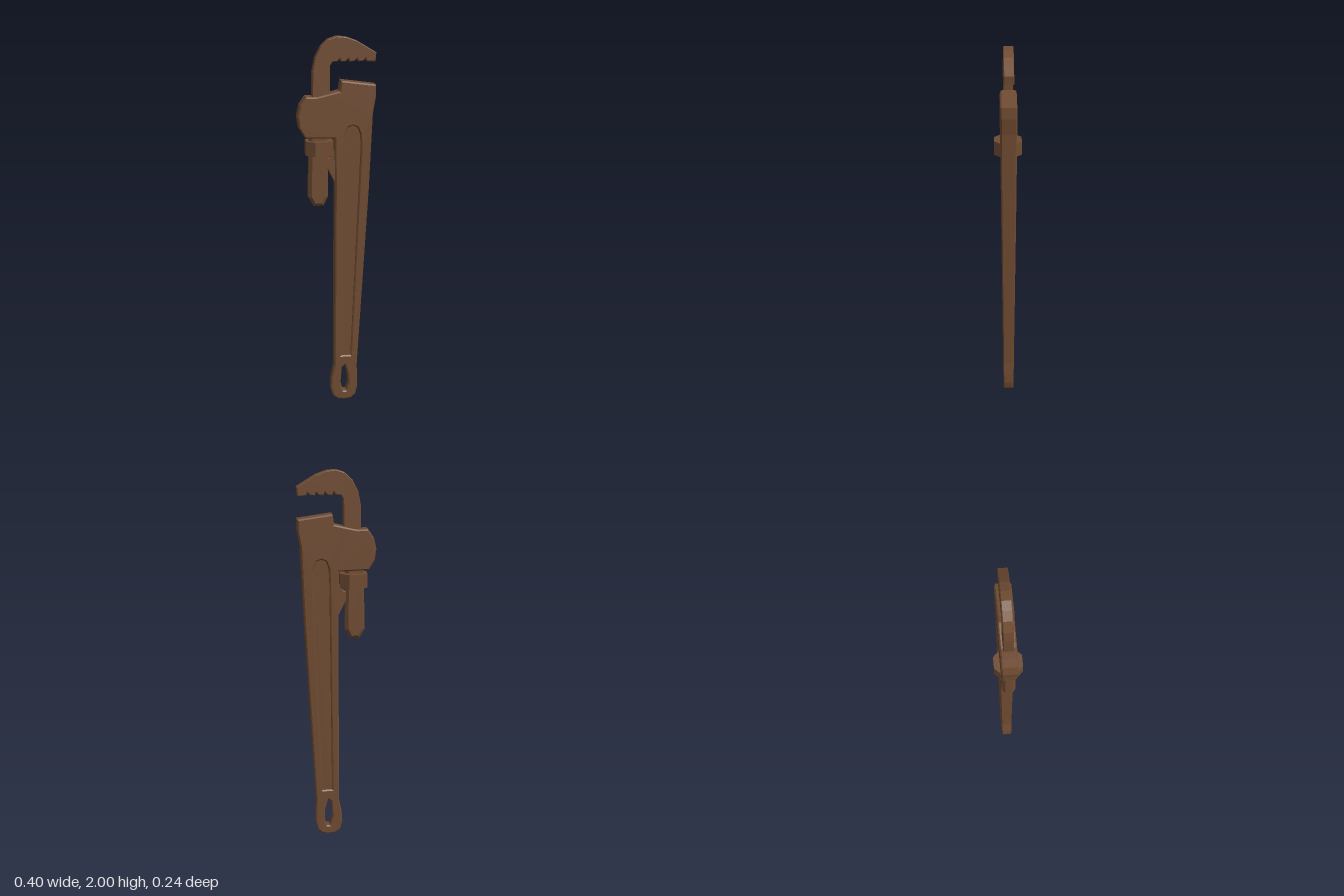
import * as THREE from 'three';

const brown = new THREE.MeshStandardMaterial({ color: 0x6f4b31, flatShading: true });

const toVectors = (pts) => pts.map(([x, y]) => new THREE.Vector2(x, y));

// Plate cut from an outline, centred on z = 0, with chamfered edges.
function plate(name, pts, half, bevel, holes = []) {
  const shape = new THREE.Shape(toVectors(pts));
  holes.forEach((h) => shape.holes.push(new THREE.Path(toVectors(h))));
  const geo = new THREE.ExtrudeGeometry(shape, {
    depth: 2 * (half - bevel),
    bevelEnabled: bevel > 0,
    bevelSize: bevel,
    bevelThickness: bevel,
    bevelOffset: -bevel,
    bevelSegments: 1,
  });
  geo.translate(0, 0, -(half - bevel));
  const mesh = new THREE.Mesh(geo, brown);
  mesh.name = name;
  return mesh;
}

// Handle thickness grows from the eye up to the head.
function taper(mesh) {
  const p = mesh.geometry.attributes.position;
  for (let i = 0; i < p.count; i++) {
    const t = Math.min(p.getY(i) / 1.5, 1);
    p.setZ(i, p.getZ(i) * THREE.MathUtils.lerp(0.66, 1, t));
  }
  mesh.geometry.computeVertexNormals();
  return mesh;
}

export function createModel() {
  const group = new THREE.Group();
  group.name = 'pipeWrench';

  // Handle, housing and lower jaw in one casting
  const body = [
    [-0.015, 0.2], [-0.03, 0.13], [-0.034, 0.07], [-0.022, 0.025], [0.005, 0.004], [0.04, 0],
    [0.075, 0.004], [0.1, 0.025], [0.112, 0.07], [0.112, 0.13], [0.109, 0.2],
    [0.168, 1.2], [0.186, 1.6], [0.202, 1.69], [0.202, 1.75], [0.02, 1.775],
    [0.012, 1.72], [-0.06, 1.703], [-0.11, 1.692], [-0.165, 1.694], [-0.195, 1.65],
    [-0.209, 1.59], [-0.2, 1.53], [-0.17, 1.48], [-0.013, 1.475], [-0.011, 1.2],
  ];
  const eye = [
    [0.019, 0.1], [0.035, 0.05], [0.052, 0.05], [0.064, 0.09], [0.062, 0.14], [0.045, 0.205], [0.026, 0.19],
  ];
  const groove = [
    [0.022, 0.26], [0.075, 0.26], [0.124, 1.4], [0.122, 1.49], [0.105, 1.53],
    [0.08, 1.54], [0.055, 1.53], [0.04, 1.49], [0.036, 1.4],
  ];
  group.add(taper(plate('handleAndHousing', body, 0.042, 0.007, [eye, groove])));
  group.add(taper(plate('handleWeb', groove, 0.022, 0)));

  // Hook jaw with a serrated underside
  const hook = [
    [-0.13, 1.6], [-0.128, 1.82], [-0.114, 1.89], [-0.083, 1.95], [-0.045, 1.985], [0, 2],
    [0.05, 1.995], [0.105, 1.975], [0.155, 1.945], [0.204, 1.915], [0.2, 1.868],
  ];
  for (let i = 0; i < 4; i++) {
    const x = 0.155 - i * 0.045;
    hook.push([x, 1.87], [x - 0.006, 1.888], [x - 0.02, 1.872]);
  }
  hook.push([-0.025, 1.87], [-0.037, 1.85], [-0.039, 1.6]);
  group.add(plate('hookJaw', hook, 0.026, 0.004));

  // Shank below the housing
  const shank = [
    [-0.146, 1.5], [-0.152, 1.16], [-0.125, 1.112], [-0.073, 1.112], [-0.048, 1.16], [-0.05, 1.5],
  ];
  group.add(plate('lowerShank', shank, 0.034, 0.016));

  // Adjusting nut
  const nut = new THREE.Mesh(new THREE.CylinderGeometry(0.078, 0.078, 0.076, 8), brown);
  nut.name = 'adjustingNut';
  nut.position.set(-0.092, 1.424, 0);
  nut.rotation.y = Math.PI / 8;
  group.add(nut);

  // Spur between the handle and the shank
  const spur = [[0, 1.22], [0, 1.43], [-0.04, 1.37], [-0.072, 1.355], [-0.055, 1.32], [-0.015, 1.24]];
  group.add(plate('handleSpur', spur, 0.02, 0.003));

  // The whole tool is turned about its upright axis
  group.rotation.y = -THREE.MathUtils.degToRad(25);
  const model = new THREE.Group();
  model.name = 'model';
  model.add(group);
  return model;
}
